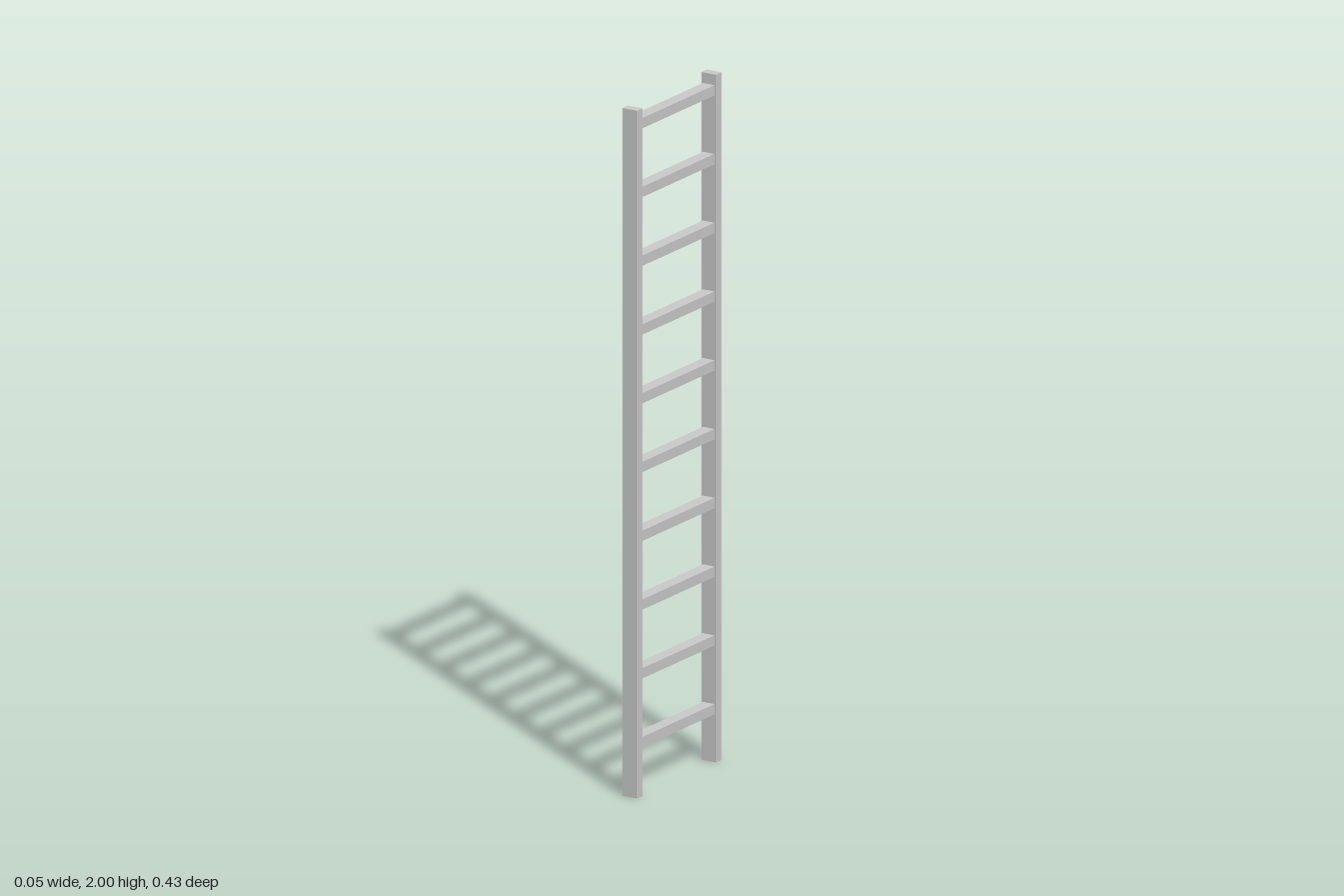
import * as THREE from 'three';

export function createModel() {
  const ladder = new THREE.Group();
  ladder.name = 'ladder';
  const material = new THREE.MeshStandardMaterial({ color: 0xcccccc, flatShading: true });

  const addBox = (name, size, y, z) => {
    const mesh = new THREE.Mesh(new THREE.BoxGeometry(...size), material);
    mesh.name = name;
    mesh.position.set(0, y, z);
    ladder.add(mesh);
  };

  // Two upright rails
  addBox('frontRail', [0.049, 2, 0.028], 1, 0.201);
  addBox('backRail', [0.049, 2, 0.028], 1, -0.201);

  // Ten evenly spaced rungs, their ends just set into the rails
  for (let i = 0; i < 10; i++) {
    addBox(`rung${i + 1}`, [0.038, 0.03, 0.378], 0.154 + i * 0.2, 0);
  }

  return ladder;
}
